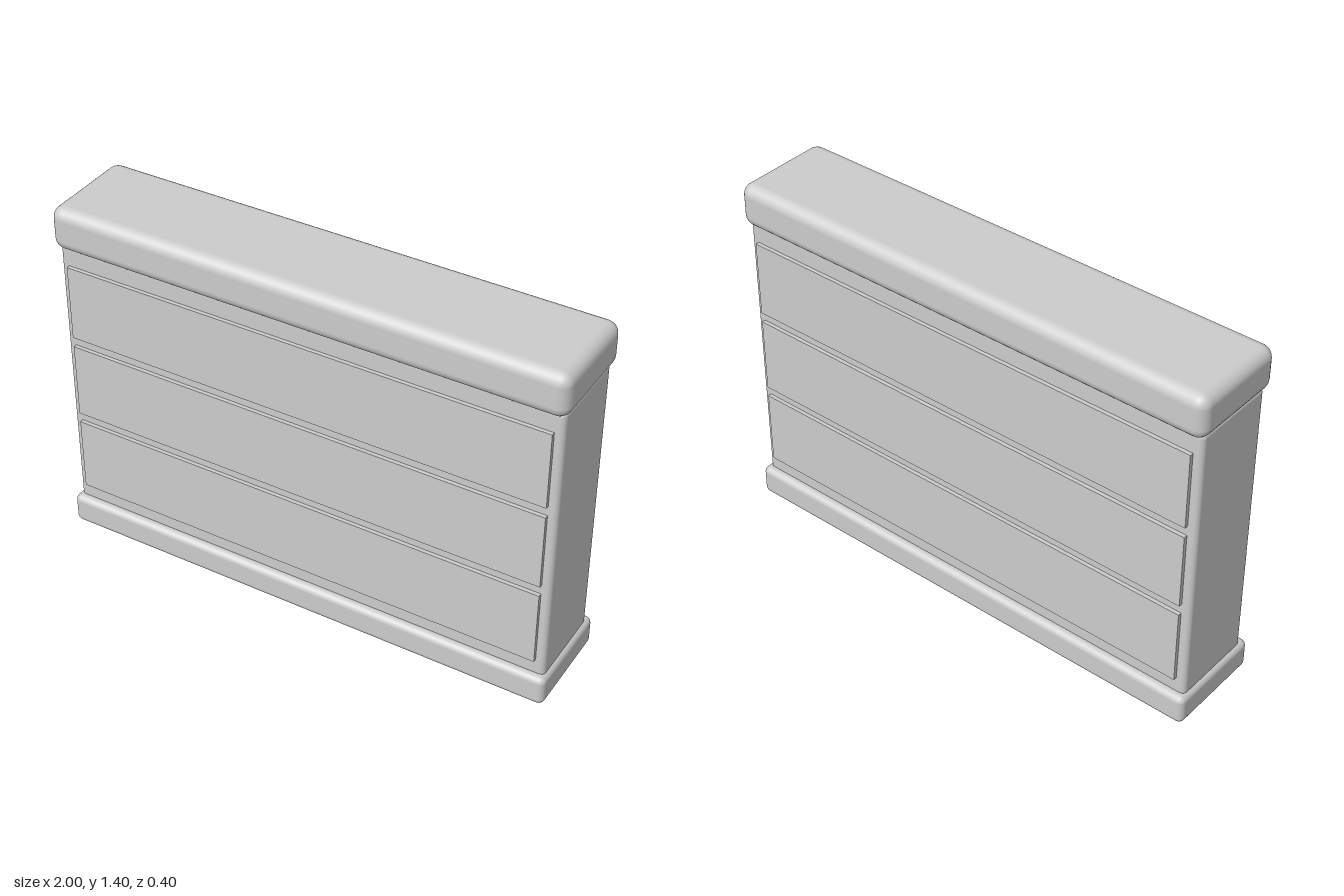
import * as THREE from 'three';
import { RoundedBoxGeometry } from 'three/addons/geometries/RoundedBoxGeometry.js';

export function createModel() {
  const group = new THREE.Group();
  group.name = 'panelledWall';
  const stone = new THREE.MeshStandardMaterial({ color: 0xcccccc });
  stone.name = 'light grey';

  const add = (name, geometry, y, z = 0) => {
    const mesh = new THREE.Mesh(geometry, stone);
    mesh.name = name;
    mesh.position.set(0, y, z);
    group.add(mesh);
  };
  // softened slab between two heights
  const slab = (name, width, depth, y0, y1, radius) =>
    add(name, new RoundedBoxGeometry(width, y1 - y0, depth, 3, radius), (y0 + y1) / 2);

  slab('base', 2, 0.4, 0, 0.12, 0.025);
  slab('body', 1.97, 0.34, 0.105, 1.245, 0.02);
  slab('cap', 2, 0.4, 1.23, 1.4, 0.045);

  // three raised panels on the front and the back
  const panel = new THREE.BoxGeometry(1.9, 0.3, 0.025);
  for (const side of [1, -1]) {
    for (let row = 0; row < 3; row++) {
      add(side > 0 ? 'frontPanel' : 'backPanel', panel, 0.332 + row * 0.34, side * 0.1725);
    }
  }
  return group;
}
